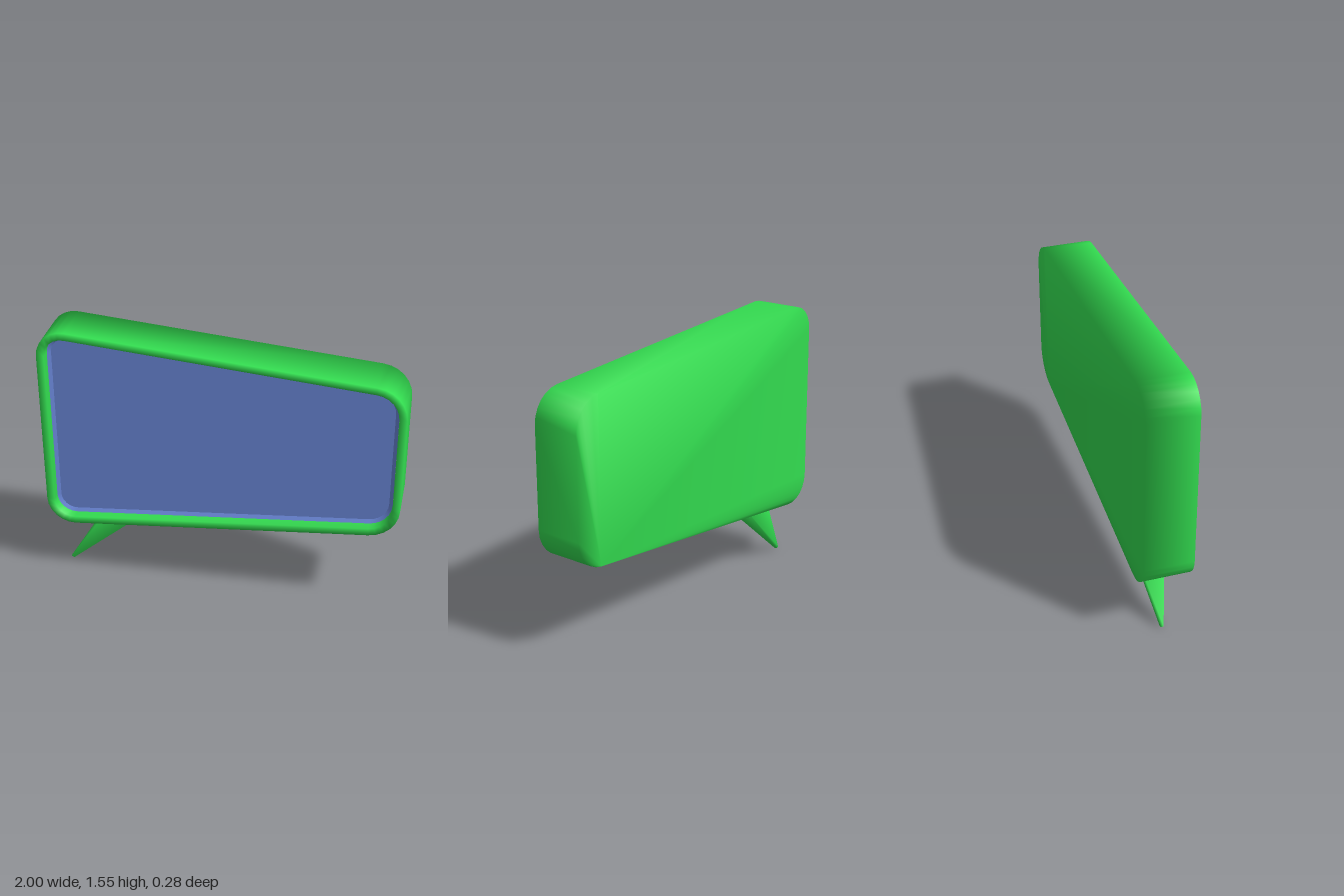
import * as THREE from 'three';

const SEG = 6; // segments per rounded corner
const SLOPE = Math.atan(0.085);
const MID = 0.95;

// Rounded corners of the tapered outline, counter-clockwise from the lower right
const UP = Math.PI / 2 - SLOPE;
const CORNERS = [
  { x: 0.82, y: MID - 0.28, r: 0.18, from: -UP, to: 0 },
  { x: 0.82, y: MID + 0.28, r: 0.18, from: 0, to: UP },
  { x: -0.85, y: MID + 0.454, r: 0.15, from: UP, to: Math.PI },
  { x: -0.85, y: MID - 0.454, r: 0.15, from: Math.PI, to: 2 * Math.PI - UP },
];

// One outline loop, moved inward by inset, at depth z
function outline(inset, z) {
  const loop = [];
  for (const c of CORNERS) {
    for (let i = 0; i <= SEG; i++) {
      const a = c.from + ((c.to - c.from) * i) / SEG;
      loop.push([c.x + (c.r - inset) * Math.cos(a), c.y + (c.r - inset) * Math.sin(a), z]);
    }
  }
  return loop;
}

// Skin a stack of equal loops, with optional flat caps
function loft(loops, capStart, capEnd) {
  const n = loops[0].length;
  const index = [];
  for (let k = 0; k < loops.length - 1; k++) {
    for (let j = 0; j < n; j++) {
      const a = k * n + j;
      const b = k * n + ((j + 1) % n);
      index.push(a, b, b + n, a, b + n, a + n);
    }
  }
  const last = (loops.length - 1) * n;
  for (let j = 1; j < n - 1; j++) {
    if (capStart) index.push(0, j + 1, j);
    if (capEnd) index.push(last, last + j, last + j + 1);
  }
  const geometry = new THREE.BufferGeometry();
  geometry.setAttribute('position', new THREE.Float32BufferAttribute(loops.flat(2), 3));
  geometry.setIndex(index);
  geometry.computeVertexNormals();
  return geometry;
}

// Rectangular loop in x and z, with the height following the slope from y0 to y1
function tailLoop(x0, x1, y0, y1, half) {
  return [[x0, y0, half], [x0, y0, -half], [x1, y1, -half], [x1, y1, half]].reverse();
}

export function createModel() {
  const group = new THREE.Group();
  const green = new THREE.MeshStandardMaterial({ color: 0x33dd50 });
  const blue = new THREE.MeshStandardMaterial({ color: 0x6a87d8 });

  function add(name, geometry, material) {
    const mesh = new THREE.Mesh(geometry, material);
    mesh.name = name;
    group.add(mesh);
  }

  // Shell: closed back, side wall, front rim and recess wall
  add('bubbleShell', loft([
    outline(0, -0.14),
    outline(0, 0.14),
    outline(0.042, 0.14),
    outline(0.046, 0.07),
  ], true, false), green);

  // Recessed panel with a narrow sloping border
  add('panelBorder', loft([outline(0.045, 0.09), outline(0.065, 0.078)], false, false), blue);
  add('panel', loft([outline(0.065, 0.078)], false, true), blue);

  // Pointed tail, pushed slightly into the underside of the shell
  const tail = loft([
    tailLoop(-0.925, -0.908, 0.008, 0, 0.008),
    tailLoop(-0.695, -0.49, 0.37, 0.386, 0.085),
  ].map((loop) => loop.reverse()), true, true);
  // The loops run the other way round the y axis, so turn the faces outward
  const order = tail.index.array;
  const p = tail.attributes.position;
  const [a, b, c] = [0, 1, 2].map((i) => new THREE.Vector3().fromBufferAttribute(p, order[i]));
  const centre = new THREE.Vector3(-0.755, 0.19, 0);
  const normal = b.clone().sub(a).cross(c.clone().sub(a));
  if (normal.dot(a.clone().sub(centre)) < 0) {
    for (let i = 0; i < order.length; i += 3) [order[i], order[i + 1]] = [order[i + 1], order[i]];
    tail.computeVertexNormals();
  }
  add('tail', tail, green);

  return group;
}
